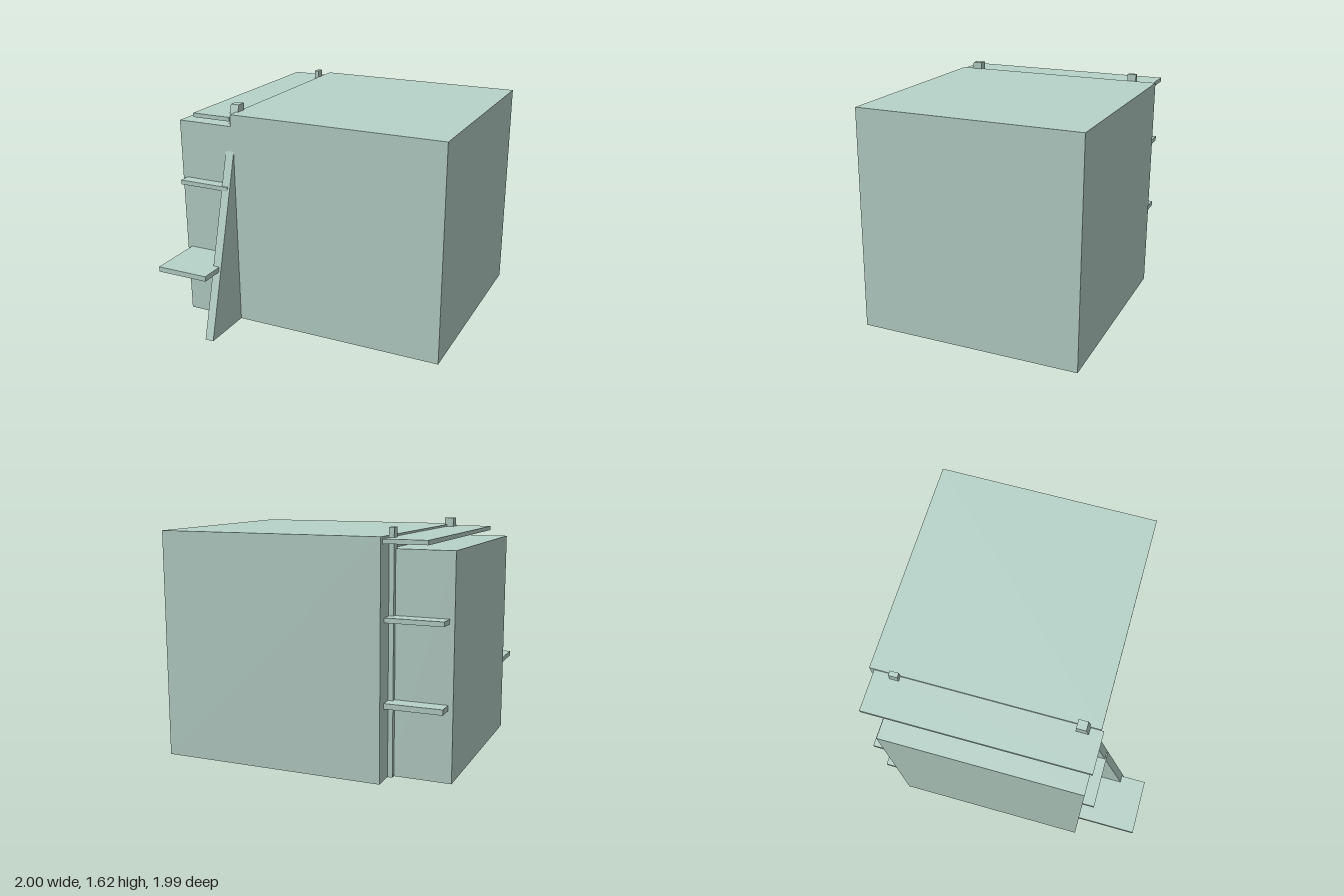
import * as THREE from 'three';

export function createModel() {
  const model = new THREE.Group();
  const material = new THREE.MeshStandardMaterial({ color: 0xb9d4ca });

  const add = (name, geometry) => {
    const mesh = new THREE.Mesh(geometry, material);
    mesh.name = name;
    model.add(mesh);
  };

  // Box given by its extents along each axis
  const block = (name, [x0, x1], [y0, y1], [z0, z1]) => {
    const g = new THREE.BoxGeometry(x1 - x0, y1 - y0, z1 - z0);
    g.translate((x0 + x1) / 2, (y0 + y1) / 2, (z0 + z1) / 2);
    add(name, g);
  };

  // Main block and the lower side block
  block('mainBlock', [-0.577, 1], [0, 1.575], [-0.995, 0.58]);
  block('sideBlock', [-1, -0.577], [0, 1.49], [-0.813, 0.58]);

  // Shelves running right through the side block
  block('topShelf', [-0.87, -0.577], [1.53, 1.56], [-0.963, 0.597]);
  block('middleShelf', [-0.967, -0.577], [1.035, 1.067], [-0.927, 0.66]);
  block('lowerShelf', [-0.967, -0.577], [0.48, 0.517], [-0.927, 0.99]);

  // Upright post at the back
  block('backPost', [-0.61, -0.575], [0, 1.625], [-0.845, -0.782]);

  // Sloping front fin, profile in (z, y), extruded across x
  const profile = new THREE.Shape([
    [-0.965, 0], [-0.42, 0], [-0.42, 1.625], [-0.487, 1.625],
  ].map(([z, y]) => new THREE.Vector2(z, y)));
  const fin = new THREE.ExtrudeGeometry(profile, { depth: 0.064, bevelEnabled: false });
  fin.rotateY(Math.PI / 2);
  fin.translate(-0.625, 0, 0);
  add('frontFin', fin);

  return model;
}
